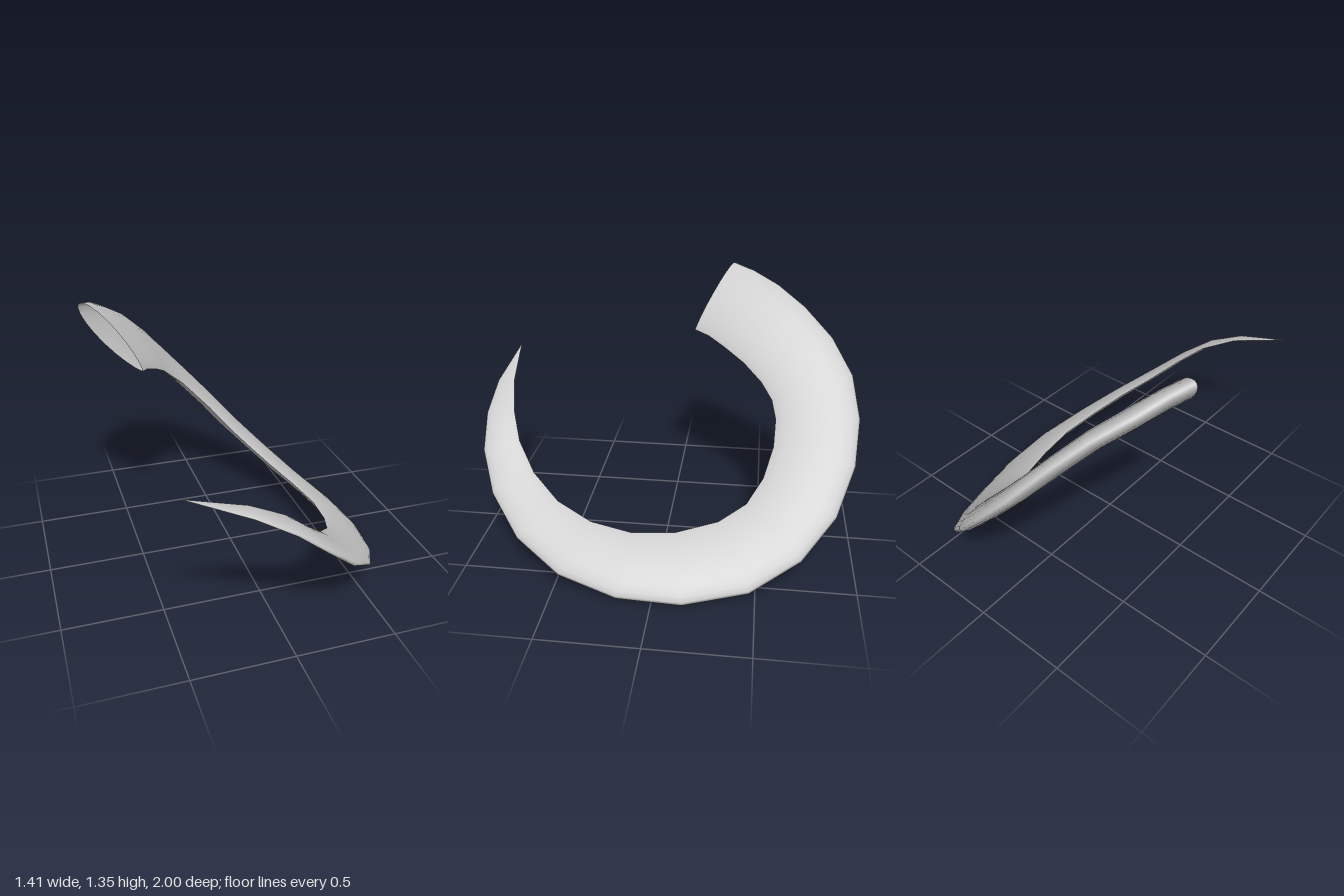
import * as THREE from 'three';

// Stations from the open root to the tip: outer edge (x, y, z), then inner edge (x, y, z)
const STATIONS = [
  [-0.70, 1.35, -0.30, -0.43, 1.03, -0.10],
  [-0.65, 1.32, -0.41, -0.39, 1.01, -0.18],
  [-0.58, 1.26, -0.55, -0.33, 0.97, -0.27],
  [-0.47, 1.17, -0.70, -0.26, 0.91, -0.38],
  [-0.35, 1.04, -0.85, -0.19, 0.83, -0.48],
  [-0.22, 0.88, -0.96, -0.12, 0.76, -0.54],
  [-0.06, 0.70, -1.00, -0.05, 0.68, -0.565],
  [0.11, 0.51, -0.98, 0.05, 0.57, -0.56],
  [0.29, 0.31, -0.89, 0.16, 0.44, -0.515],
  [0.46, 0.15, -0.72, 0.26, 0.34, -0.435],
  [0.60, 0.04, -0.47, 0.34, 0.275, -0.30],
  [0.69, 0.01, -0.15, 0.41, 0.24, -0.09],
  [0.70, 0.03, 0.17, 0.44, 0.24, 0.13],
  [0.63, 0.09, 0.47, 0.41, 0.27, 0.345],
  [0.50, 0.20, 0.71, 0.34, 0.335, 0.53],
  [0.33, 0.35, 0.88, 0.23, 0.43, 0.68],
  [0.16, 0.51, 0.97, 0.11, 0.55, 0.785],
  [-0.01, 0.65, 0.995, -0.02, 0.67, 0.845],
  [-0.20, 0.76, 0.985, -0.20, 0.775, 0.89],
  [-0.50, 0.88, 0.93, -0.50, 0.88, 0.93],
];
const SIDES = 20;
const THICKNESS = 0.117; // half thickness factor relative to the blade width

// Sweeps a teardrop section (sharp inside edge, round outside edge) along the stations
function hornGeometry() {
  const outer = STATIONS.map((s) => new THREE.Vector3(s[0], s[1], s[2]));
  const inner = STATIONS.map((s) => new THREE.Vector3(s[3], s[4], s[5]));
  const mid = outer.map((p, i) => p.clone().lerp(inner[i], 0.5));
  const last = STATIONS.length - 1;
  const positions = [];
  const index = [];

  for (let i = 0; i <= last; i++) {
    const tangent = mid[Math.min(i + 1, last)].clone().sub(mid[Math.max(i - 1, 0)]);
    const across = outer[i].clone().sub(inner[i]);
    const width = across.length();
    const normal = tangent.cross(across).normalize();

    for (let j = 0; j <= SIDES; j++) {
      const a = (j / SIDES) * Math.PI * 2;
      const t = (1 - Math.cos(a)) / 2;
      const half = 2 * Math.pow(t, 0.75) * Math.sqrt(Math.max(0, 1 - t)) * THICKNESS * width;
      const p = inner[i].clone()
        .addScaledVector(across, t)
        .addScaledVector(normal, j * 2 < SIDES ? half : -half);
      positions.push(p.x, p.y, p.z);
    }
  }

  // The seam at the inside edge stays unshared, so it shades as a crease
  const row = SIDES + 1;
  for (let i = 0; i < last; i++) {
    for (let j = 0; j < SIDES; j++) {
      const a = i * row + j;
      const b = a + row;
      index.push(a, b, a + 1);
      if (i < last - 1) index.push(a + 1, b, b + 1);
    }
  }

  const geometry = new THREE.BufferGeometry();
  geometry.setAttribute('position', new THREE.Float32BufferAttribute(positions, 3));
  geometry.setIndex(index);
  geometry.computeVertexNormals();
  return geometry;
}

export function createModel() {
  const group = new THREE.Group();
  group.name = 'curvedHorn';

  // Hollow horn, open at its root
  const material = new THREE.MeshStandardMaterial({ color: 0xcccccc, side: THREE.DoubleSide });
  const horn = new THREE.Mesh(hornGeometry(), material);
  horn.name = 'horn';
  group.add(horn);
  return group;
}
